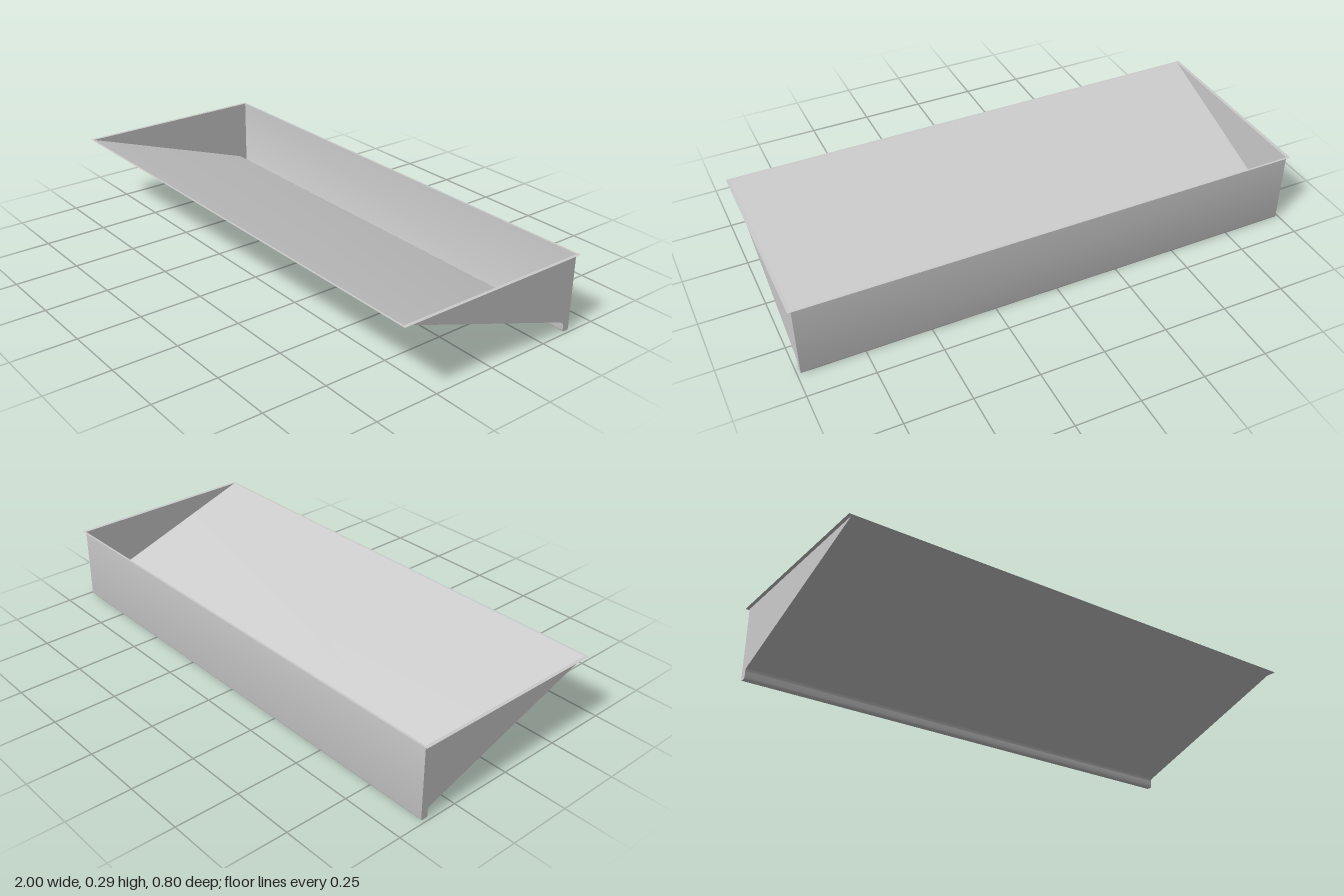
import * as THREE from 'three';
import { toCreasedNormals } from 'three/addons/utils/BufferGeometryUtils.js';

const HALF_X = 0.987, HALF_Z = 0.392, TOP = 0.295;
const RIM_X = 1, RIM_Z = 0.4;

// Side outline in (z, y): sloping floor, drain channel with rounded corners, back wall
function sideProfile() {
  const s = new THREE.Shape();
  s.moveTo(HALF_Z, TOP);
  s.lineTo(-0.355, 0.041);
  s.quadraticCurveTo(-0.363, 0.038, -0.364, 0.029);
  s.lineTo(-0.364, 0.006);
  s.quadraticCurveTo(-0.364, 0, -0.37, 0);
  s.lineTo(-0.386, 0);
  s.quadraticCurveTo(-HALF_Z, 0, -HALF_Z, 0.006);
  s.lineTo(-HALF_Z, TOP);
  return s;
}

function rectangle(path, x, z) {
  path.moveTo(-x, -z);
  path.lineTo(x, -z);
  path.lineTo(x, z);
  path.lineTo(-x, z);
  path.closePath();
  return path;
}

export function createModel() {
  const group = new THREE.Group();
  const material = new THREE.MeshStandardMaterial({ color: 0xcccccc, side: THREE.DoubleSide });
  const add = (name, geometry) => {
    const mesh = new THREE.Mesh(geometry, material);
    mesh.name = name;
    group.add(mesh);
    return mesh;
  };
  const profile = sideProfile();

  // Folded sheet: floor, channel and back wall swept across the width
  const points = profile.getPoints(6);
  const sheet = new THREE.PlaneGeometry(2 * HALF_X, 1, 1, points.length - 1);
  const pos = sheet.attributes.position;
  for (let i = 0; i < pos.count; i++) {
    const p = points[Math.floor(i / 2)];
    pos.setXYZ(i, pos.getX(i), p.y, p.x);
  }
  add('foldedTraySheet', toCreasedNormals(sheet, 0.6));

  // Flat end panels
  for (const [name, side] of [['leftEndPanel', 1], ['rightEndPanel', -1]]) {
    const panel = new THREE.ShapeGeometry(profile, 6);
    panel.rotateY(-Math.PI / 2);
    add(name, panel).position.x = side * HALF_X;
  }

  // Thin flat flange around the open top
  const rim = rectangle(new THREE.Shape(), RIM_X, RIM_Z);
  rim.holes.push(rectangle(new THREE.Path(), HALF_X, HALF_Z));
  const flange = new THREE.ShapeGeometry(rim);
  flange.rotateX(-Math.PI / 2);
  add('topFlange', flange).position.y = TOP;

  return group;
}
